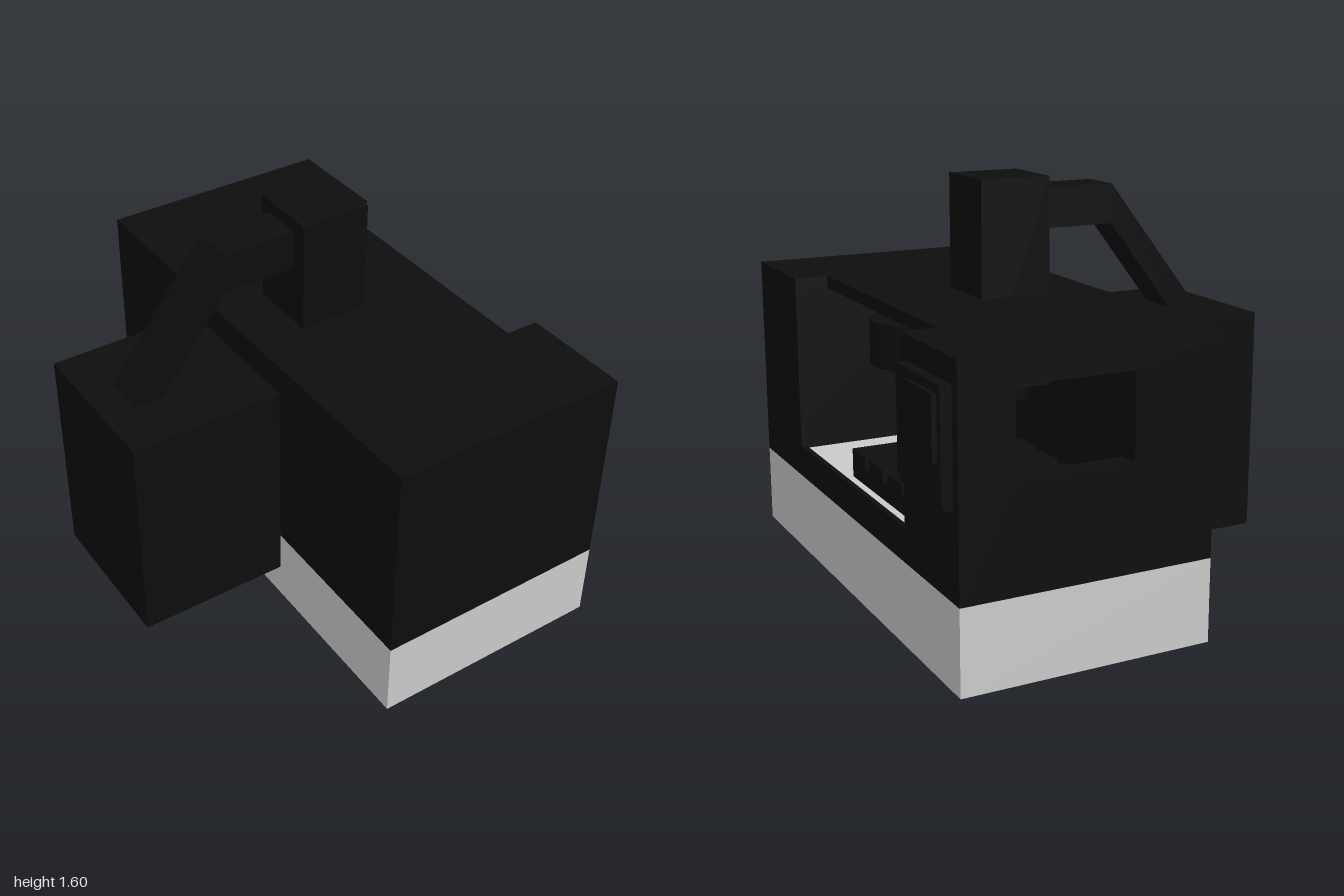
import * as THREE from 'three';

export function createModel() {
  const model = new THREE.Group();
  const black = new THREE.MeshStandardMaterial({ color: 0x0d0d0d });
  black.name = 'black';
  const grey = new THREE.MeshStandardMaterial({ color: 0xcacaca });
  grey.name = 'light grey';

  const add = (name, geometry, material = black) => {
    const mesh = new THREE.Mesh(geometry, material);
    mesh.name = name;
    model.add(mesh);
    return mesh;
  };
  // Box given by its limits on each axis
  const box = (name, [x0, x1], [y0, y1], [z0, z1], material) =>
    add(name, new THREE.BoxGeometry(x1 - x0, y1 - y0, z1 - z0), material)
      .position.set((x0 + x1) / 2, (y0 + y1) / 2, (z0 + z1) / 2);
  const cylinder = (name, r, [y0, y1], x, z) =>
    add(name, new THREE.CylinderGeometry(r, r, y1 - y0, 32)).position.set(x, (y0 + y1) / 2, z);
  const outline = (points) => new THREE.Shape(points.map(([x, y]) => new THREE.Vector2(x, y)));
  const extrude = (shape, depth) => new THREE.ExtrudeGeometry(shape, { depth, bevelEnabled: false });

  const L = -0.21, R = 0.765, FLOOR = 0.32, TOP = 1.15, CEIL = 1.1;

  // Base and the cabinet beside it
  box('base', [L, R], [0, FLOOR], [-1, 1], grey);
  box('cabinet', [-0.825, L], [0.145, 1.03], [-0.37, 0.26]);

  // Hollow enclosure
  box('leftOuterWall', [L, -0.11], [FLOOR, CEIL], [-1, 1]);
  box('frontWall', [-0.11, R], [FLOOR, CEIL], [0.92, 1]);

  const back = outline([[-0.11, FLOOR], [R, FLOOR], [R, CEIL], [-0.11, CEIL]]);
  back.holes.push(outline([[0.11, 0.72], [0.11, 1.04], [0.56, 1.04], [0.56, 0.72]]));
  add('backWall', extrude(back, 0.08)).position.z = -1;

  // Roof with a notch above the door opening, drawn in x and -z
  const roof = outline([[L, -1], [R, -1], [R, -0.55], [0.63, -0.55],
    [0.63, 0.55], [R, 0.55], [R, 1], [L, 1]]);
  const roofMesh = add('roof', extrude(roof, TOP - CEIL));
  roofMesh.rotation.x = -Math.PI / 2;
  roofMesh.position.y = CEIL;

  // Thin side wall with the door opening, drawn in -z and y
  const side = outline([[-0.92, FLOOR], [0.92, FLOOR], [0.92, CEIL], [0.55, CEIL],
    [0.55, 0.45], [-0.55, 0.45], [-0.55, CEIL], [-0.92, CEIL]]);
  const sideMesh = add('doorWall', extrude(side, 0.02));
  sideMesh.rotation.y = Math.PI / 2;
  sideMesh.position.x = R - 0.02;

  // Spindle head passing through the roof
  box('spindleColumn', [0, 0.285], [0.79, 1.595], [-0.18, 0.1]);
  cylinder('spindleNose', 0.11, [0.73, 0.79], 0.14, -0.04);
  cylinder('cuttingTool', 0.025, [0.61, 0.73], 0.14, -0.035);

  // Cable duct from the cabinet to the spindle column
  const duct = outline([[-0.7, 1.03], [-0.575, 1.03], [-0.3, 1.39], [0, 1.39], [0, 1.545], [-0.3, 1.545]]);
  add('cableDuct', extrude(duct, 0.17)).position.z = -0.13;

  // Tool carousel hanging from the roof
  cylinder('toolCarousel', 0.235, [0.75, 0.94], 0.2, 0.555);
  cylinder('carouselShaft', 0.065, [0.94, CEIL], 0.2, 0.555);

  // Slotted work table
  box('tableBed', [-0.1, 0.58], [FLOOR, 0.39], [-0.45, 0.45]);
  for (let i = 0; i < 5; i++) {
    const z = -0.45 + i * 0.19;
    box('tableRail', [-0.1, 0.58], [0.39, 0.44], [z, z + 0.14]);
  }

  // Control panel with chamfered lower edge, and its screen
  const panel = outline([[R, 0.64], [0.795, 0.64], [0.807, 0.68], [0.807, 1.06], [R, 1.06]]);
  add('controlPanel', extrude(panel, 0.36)).position.z = -0.96;
  box('controlScreen', [0.807, 0.825], [0.8, 1.03], [-0.935, -0.71]);

  return model;
}
